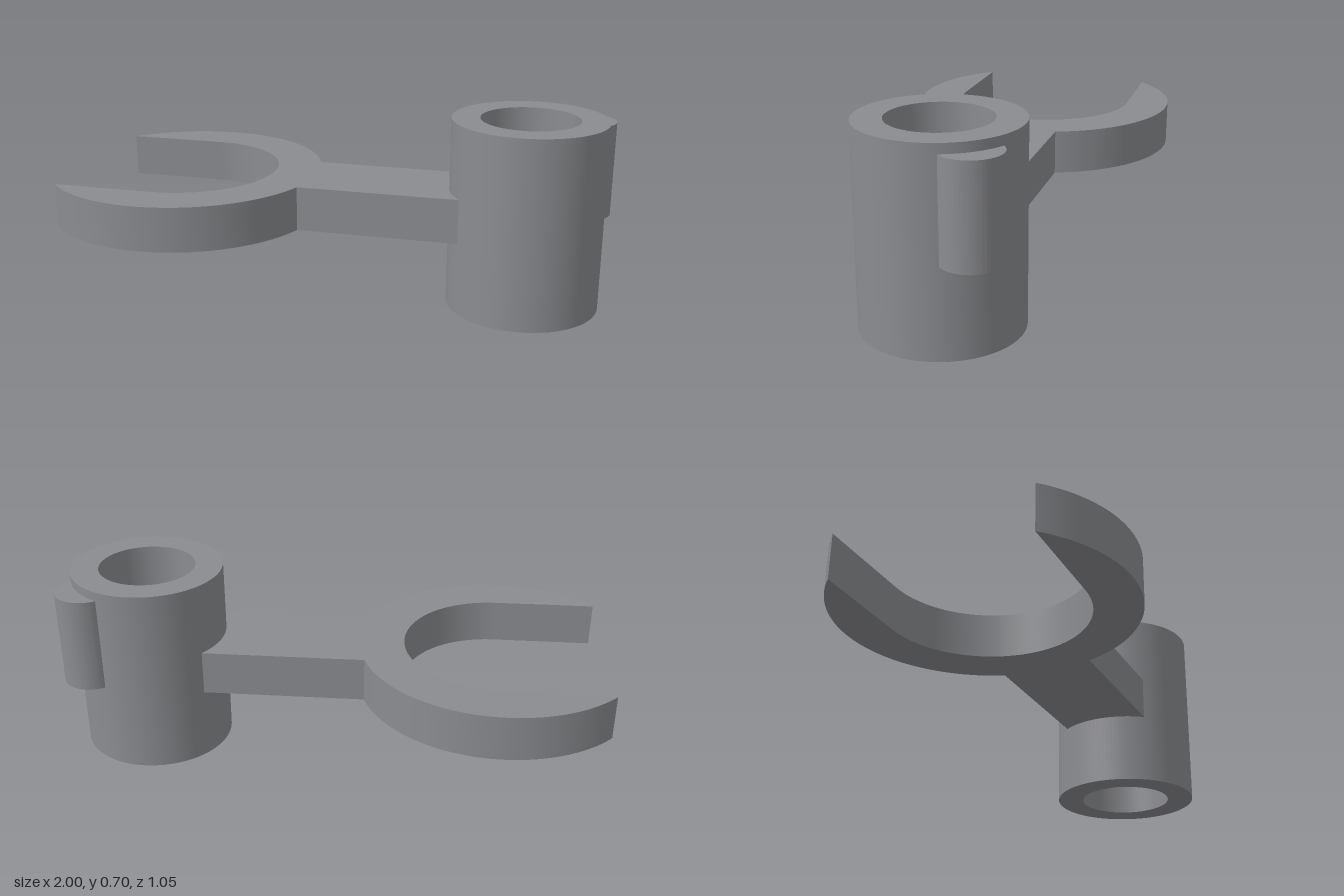
import * as THREE from 'three';
import { toCreasedNormals } from 'three/addons/utils/BufferGeometryUtils.js';

const grey = new THREE.MeshStandardMaterial({ color: 0x8b8c90 });
grey.name = 'grey';

const HUB_X = 0.7, HUB_R = 0.28, BORE_R = 0.178;
const JAW_X = -0.615, JAW_R = 0.523, JAW_INNER = 0.355;
const ARM_HALF = 0.17;

// Extrude a plan outline upwards from y0 to y1
function slab(name, shape, y0, y1) {
  let g = new THREE.ExtrudeGeometry(shape, { depth: y1 - y0, bevelEnabled: false, curveSegments: 48 });
  g.rotateX(-Math.PI / 2);
  g.translate(0, y0, 0);
  g = toCreasedNormals(g, 0.5);
  const mesh = new THREE.Mesh(g, grey);
  mesh.name = name;
  return mesh;
}

// Upright tube
function tubeShape() {
  const s = new THREE.Shape().absarc(HUB_X, 0, HUB_R, 0, Math.PI * 2, false);
  s.holes.push(new THREE.Path().absarc(HUB_X, 0, BORE_R, 0, Math.PI * 2, true));
  return s;
}

// Open jaw with its arm, ending inside the tube wall
function forkShape() {
  const tip = Math.PI - Math.asin(JAW_INNER / JAW_R);
  const neck = Math.asin(ARM_HALF / JAW_R);
  const root = 0.23, rootAngle = Math.asin(ARM_HALF / root);
  const s = new THREE.Shape();
  s.absarc(JAW_X, 0, JAW_R, -tip, -neck, false);
  s.absarc(HUB_X, 0, root, Math.PI + rootAngle, Math.PI - rootAngle, true);
  s.absarc(JAW_X, 0, JAW_R, neck, tip, false);
  s.absarc(JAW_X, 0, JAW_INNER, Math.PI / 2, -Math.PI / 2, true);
  s.closePath();
  return s;
}

// Round rib on the tube's outside, cut off within the wall
function ribShape() {
  const dx = 0.193, dy = 0.165, r = 0.106, R = 0.24;
  const d = Math.hypot(dx, dy), a = Math.atan2(dy, dx);
  const onHub = Math.acos((d * d + R * R - r * r) / (2 * d * R));
  const onRib = Math.acos((R * R - d * d - r * r) / (2 * d * r));
  const s = new THREE.Shape();
  s.absarc(HUB_X + dx, dy, r, a - onRib, a + onRib, false);
  s.absarc(HUB_X, 0, R, a + onHub, a - onHub, true);
  s.closePath();
  return s;
}

export function createModel() {
  const group = new THREE.Group();
  group.name = 'forkedClip';
  group.add(
    slab('tube', tubeShape(), 0, 0.702),
    slab('forkAndArm', forkShape(), 0.268, 0.434),
    slab('sideRib', ribShape(), 0.316, 0.668)
  );
  return group;
}
